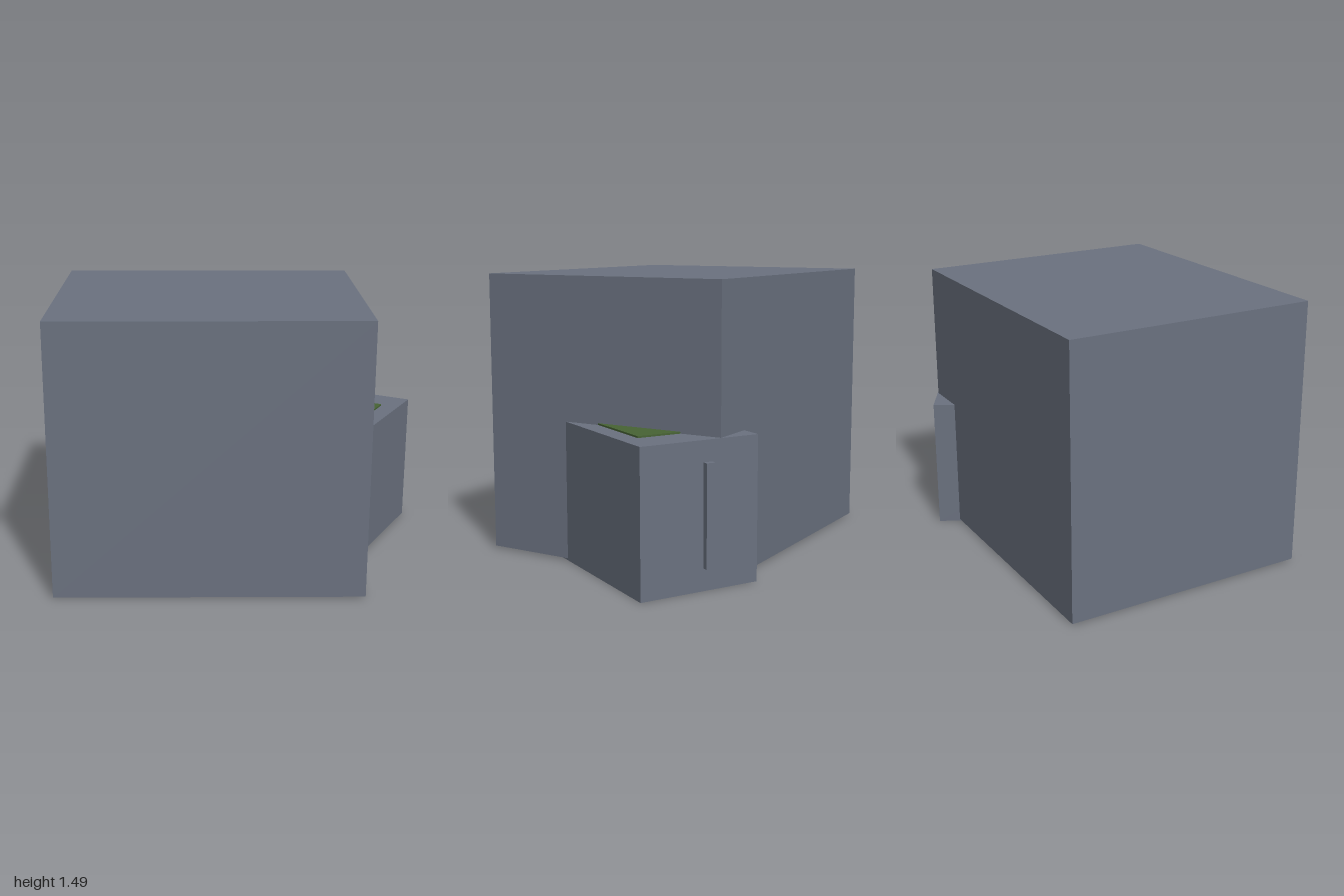
import * as THREE from 'three';

export function createModel() {
  const model = new THREE.Group();
  model.name = 'boxes';

  const grey = new THREE.MeshStandardMaterial({ color: 0x6b7280 });
  grey.name = 'slate grey';
  const green = new THREE.MeshStandardMaterial({ color: 0x476334 });
  green.name = 'moss green';

  // adds a box of the given size, centred at the given position
  const addBox = (parent, name, material, size, position) => {
    const mesh = new THREE.Mesh(new THREE.BoxGeometry(...size), material);
    mesh.name = name;
    mesh.position.set(...position);
    parent.add(mesh);
    return mesh;
  };

  // large block, turned slightly
  const block = addBox(model, 'largeBlock', grey, [1.637, 1.474, 1.39], [-0.014, 0.748, 0.023]);
  block.rotation.y = 0.2976;

  // small cabinet, turned the other way and pushed into the block
  const cabinet = new THREE.Group();
  cabinet.name = 'cabinet';
  cabinet.position.set(0.56, 0, -0.302);
  cabinet.rotation.y = -0.2095;
  model.add(cabinet);
  addBox(cabinet, 'cabinetBody', grey, [0.65, 0.737, 1.144], [0, 0.3685, 0]);

  // green inset panel on the cabinet top
  addBox(cabinet, 'topPanel', green, [0.455, 0.009, 0.746], [0, 0.7415, 0]);

  // upright handle bar on the cabinet back
  addBox(cabinet, 'handleBar', grey, [0.048, 0.516, 0.03], [-0.04, 0.372, -0.588]);

  return model;
}
